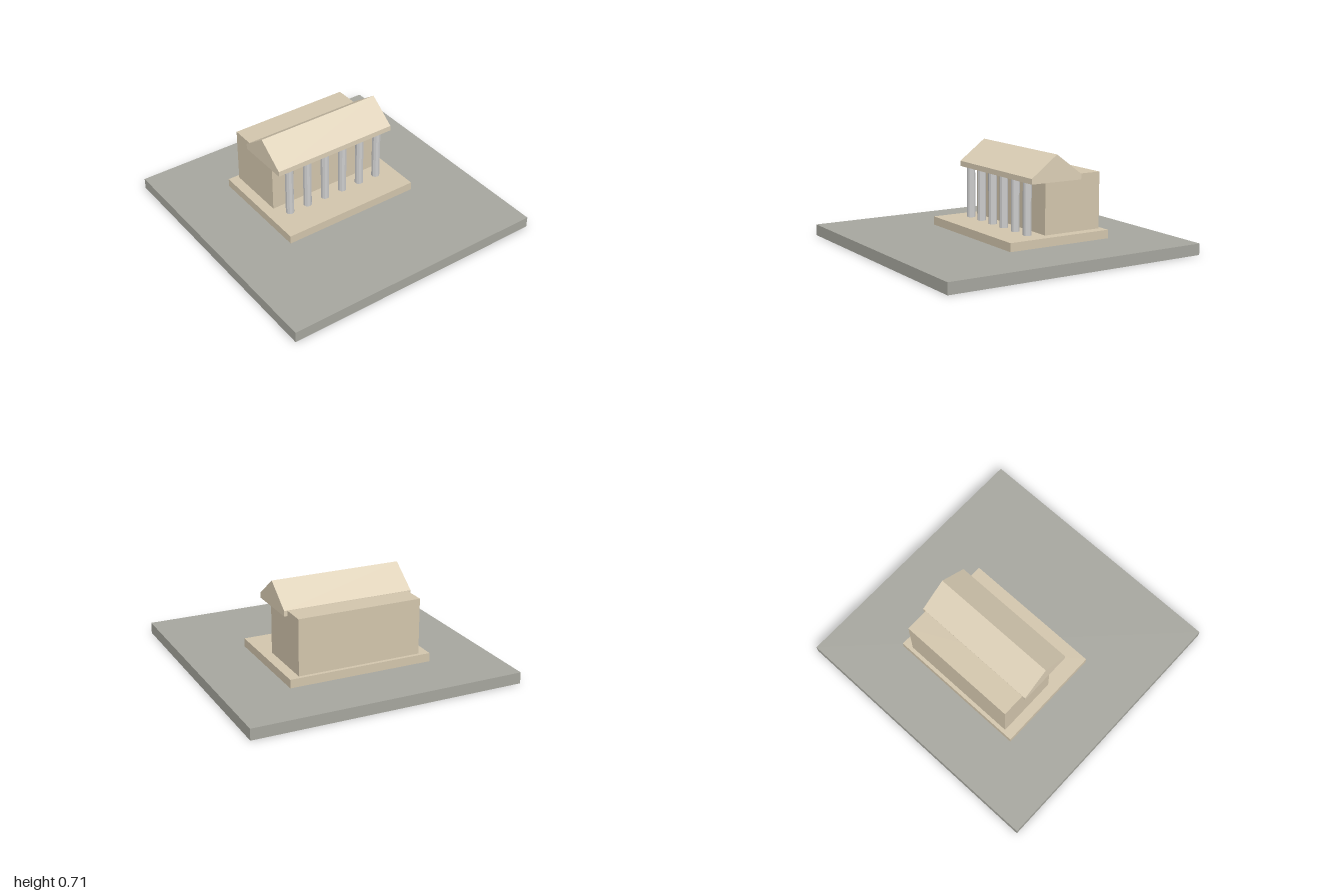
import * as THREE from 'three';

const stone = new THREE.MeshStandardMaterial({ color: 0xd2c5ac, flatShading: true });
const paving = new THREE.MeshStandardMaterial({ color: 0xa6a69e, flatShading: true });
const roofing = new THREE.MeshStandardMaterial({ color: 0xdccfb6, flatShading: true });
const grey = new THREE.MeshStandardMaterial({ color: 0xcccccc, flatShading: true });

// Box given by its extents on each axis
function block(name, [x0, x1], [y0, y1], [z0, z1], material) {
  const mesh = new THREE.Mesh(new THREE.BoxGeometry(x1 - x0, y1 - y0, z1 - z0), material);
  mesh.position.set((x0 + x1) / 2, (y0 + y1) / 2, (z0 + z1) / 2);
  mesh.name = name;
  return mesh;
}

export function createModel() {
  const model = new THREE.Group();
  model.name = 'temple';

  // Ground slab, podium and closed hall
  model.add(
    block('ground', [-1, 1], [0, 0.082], [-1, 1], paving),
    block('podium', [-0.533, 0.533], [0.082, 0.144], [-0.56, 0.255], stone),
    block('hall', [-0.458, 0.458], [0.144, 0.552], [-0.533, -0.075], stone)
  );

  // Row of six columns along the front
  const columns = new THREE.Group();
  columns.name = 'columns';
  const shaft = new THREE.CylinderGeometry(0.031, 0.031, 0.371, 10);
  for (let i = 0; i < 6; i++) {
    const column = new THREE.Mesh(shaft, grey);
    column.name = 'column';
    column.position.set(-0.38 + i * 0.152, 0.3295, 0.022);
    columns.add(column);
  }
  model.add(columns);

  // Gabled roof with its beam; the profile's x runs towards -z after turning
  const profile = new THREE.Shape([
    [-0.053, 0.515], [0.358, 0.515], [0.358, 0.554], [0.153, 0.706], [-0.053, 0.554]
  ].map(([x, y]) => new THREE.Vector2(x, y)));
  const roofGeometry = new THREE.ExtrudeGeometry(profile, { depth: 0.966, bevelEnabled: false });
  roofGeometry.translate(0, 0, -0.483).rotateY(Math.PI / 2);
  const roof = new THREE.Mesh(roofGeometry, roofing);
  roof.name = 'roof';
  model.add(roof);

  return model;
}
